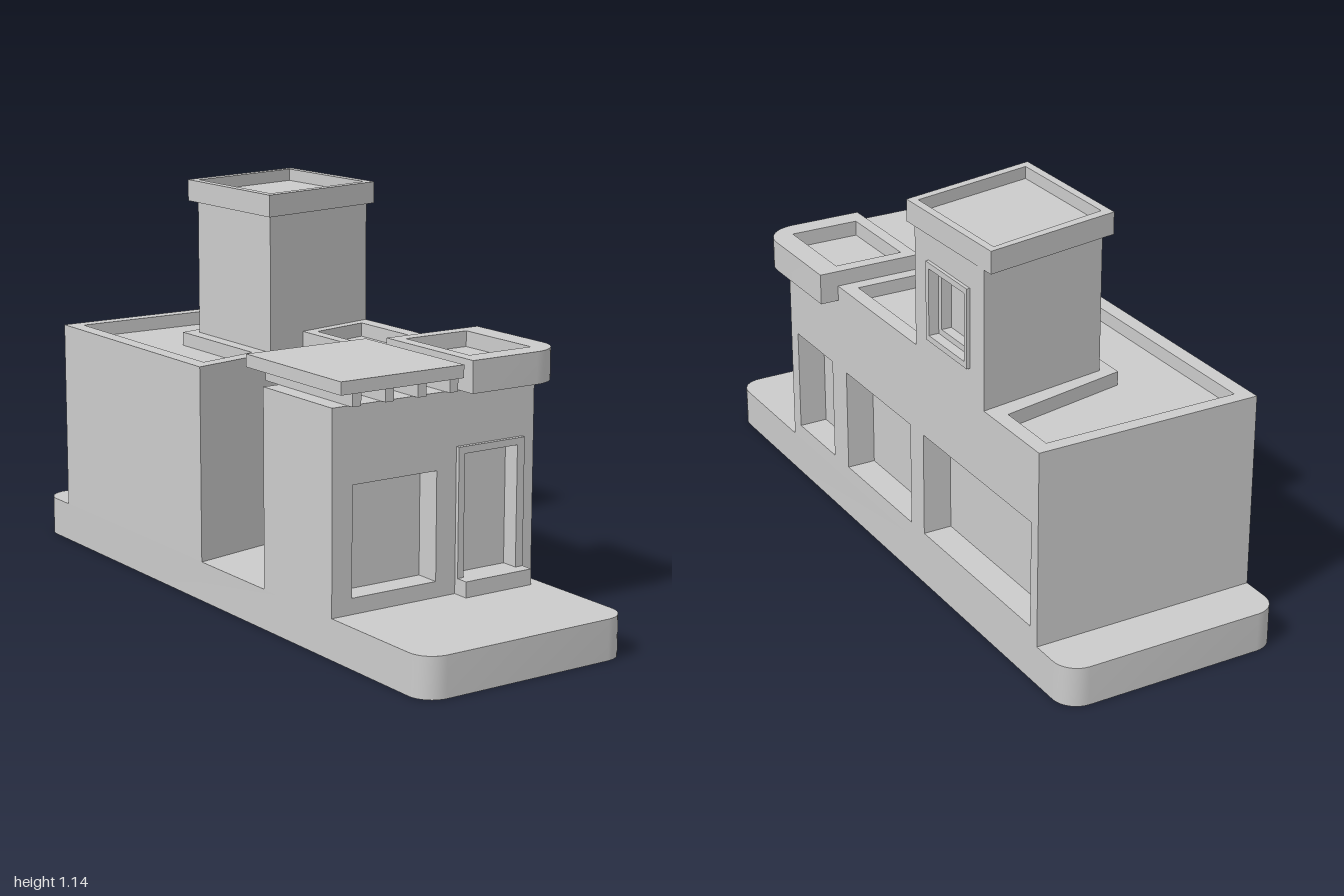
import * as THREE from 'three';
import { mergeGeometries, toCreasedNormals } from 'three/addons/utils/BufferGeometryUtils.js';

const L = -0.365, R = 0.305, FRONT = 0.59, BACK = -0.85, DECK = 0.115, ROOF = 0.68;
const material = new THREE.MeshStandardMaterial({ color: 0xcccccc, side: THREE.DoubleSide });

const rect = (x0, x1, y0, y1) => [[x0, y0], [x1, y0], [x1, y1], [x0, y1]];
const vectors = (pts) => pts.map(([x, y]) => new THREE.Vector2(x, y));
const ccw = (pts) => (THREE.ShapeUtils.isClockWise(vectors(pts)) ? [...pts].reverse() : pts);

// Strip of quads along a path, from depth z0 to z1
function band(pts, z0, z1, closed = true) {
  const pos = [];
  for (let i = 0; i < pts.length - (closed ? 0 : 1); i++) {
    const [ax, ay] = pts[i], [bx, by] = pts[(i + 1) % pts.length];
    pos.push(ax, ay, z0, bx, by, z0, bx, by, z1, ax, ay, z0, bx, by, z1, ax, ay, z1);
  }
  return new THREE.BufferGeometry().setAttribute('position', new THREE.Float32BufferAttribute(pos, 3));
}

// Flat face at depth z, with optional holes
function cap(pts, z, holes = []) {
  const shape = new THREE.Shape(vectors(pts));
  shape.holes = holes.map((h) => new THREE.Path(vectors(h)));
  const geo = new THREE.ShapeGeometry(shape).toNonIndexed().translate(0, 0, z);
  geo.deleteAttribute('uv');
  geo.deleteAttribute('normal');
  return geo;
}

// Face with sunken pockets, each { pts, depth }
function pocketed(pts, z, pockets) {
  const parts = [cap(pts, z, pockets.map((p) => p.pts))];
  for (const { pts: p, depth } of pockets) {
    parts.push(band([...ccw(p)].reverse(), z - depth, z), cap(p, z - depth));
  }
  return parts;
}

function finish(name, parts) {
  const mesh = new THREE.Mesh(toCreasedNormals(mergeGeometries(parts), 0.6), material);
  mesh.name = name;
  return mesh;
}

// Plan drawings are given as [x, z] and raised along y
const plan = (pts) => ccw(pts.map(([x, z]) => [x, -z]));
function raised(name, parts) {
  const mesh = finish(name, parts);
  mesh.geometry.rotateX(-Math.PI / 2);
  return mesh;
}

// Raised block with a sunken, parapet-edged roof
function trayBlock(name, outline, y0, y1, recess, depth, bottom) {
  const o = plan(outline);
  const parts = [band(o, y0, y1), ...pocketed(o, y1, [{ pts: plan(recess), depth }])];
  if (bottom) parts.push(cap([...o], y0));
  return raised(name, parts);
}

// Places wall-plane parts: local x runs from a to b, local z points outward
function onWall(mesh, a, b) {
  mesh.rotation.y = Math.atan2(a[1] - b[1], b[0] - a[0]);
  mesh.position.set(a[0], 0, a[1]);
  return mesh;
}

// Picture-frame ring standing on a wall
function frame(name, outer, inner, z0, z1) {
  return finish(name, [band(outer, z0, z1), band([...inner].reverse(), z0, z1), cap(outer, z1, [inner])]);
}

function box(name, x0, x1, y0, y1, z0, z1) {
  const mesh = new THREE.Mesh(new THREE.BoxGeometry(x1 - x0, y1 - y0, z1 - z0), material);
  mesh.position.set((x0 + x1) / 2, (y0 + y1) / 2, (z0 + z1) / 2);
  mesh.name = name;
  return mesh;
}

// Quarter arc in plan
function arc(cx, cz, r, start, n = 8) {
  return Array.from({ length: n + 1 }, (_, i) => {
    const t = start + (i / n) * Math.PI / 2;
    return [cx + r * Math.cos(t), cz + r * Math.sin(t)];
  });
}

export function createModel() {
  const model = new THREE.Group();
  const slant = (x) => -0.06 - 0.2145 * (x - L); // angled wall line

  // Hollow base with open underside
  const r = 0.07;
  const frontEdge = [...arc(R - r, 1 - r, r, 0), ...arc(L + r, 1 - r, r, Math.PI / 2)];
  const backEdge = [...arc(L + r, -1 + r, r, Math.PI), ...arc(R - r, -1 + r, r, Math.PI * 1.5)];
  const courtyard = [[L, slant(L)], [0.04, slant(0.04)], [0.04, 0.265], [L, 0.265]];
  model.add(raised('base', [
    band(plan([...frontEdge, ...backEdge]), 0, DECK),
    cap(plan([[R, FRONT], ...frontEdge, [L, FRONT]]), DECK),
    cap(plan([[L, BACK], ...backEdge, [R, BACK]]), DECK),
    cap(plan(courtyard), DECK),
  ]));

  // Plain walls: back, left side and courtyard
  const plainWalls = [[R, BACK], [L, BACK], [L, slant(L)], [0.04, slant(0.04)], [0.04, 0.265], [L, 0.265], [L, FRONT]];
  model.add(raised('plainWalls', [band(plainWalls.map(([x, z]) => [x, -z]), DECK, ROOF, false)]));

  // Front wall with window and door niche
  const doorHole = rect(0.06 - L, 0.24 - L, 0.16, 0.505);
  const frontA = [L, FRONT], frontB = [R, FRONT];
  model.add(onWall(finish('frontWall', pocketed(rect(0, R - L, DECK, ROOF), 0, [
    { pts: rect(-0.3 - L, -0.025 - L, 0.16, 0.467), depth: 0.075 },
    { pts: doorHole, depth: 0.04 },
  ])), frontA, frontB));
  model.add(onWall(frame('doorFrame', rect(0.04 - L, 0.265 - L, 0.16, 0.525), doorHole, 0, 0.012), frontA, frontB));
  model.add(box('doorStep', 0.04, 0.265, DECK, 0.16, FRONT, 0.64));

  // Right wall with three windows
  const windows = [[0.545, 0.315], [0.225, -0.165], [-0.24, -0.815]];
  model.add(onWall(finish('rightWall', pocketed(rect(0, FRONT - BACK, DECK, ROOF), 0,
    windows.map(([z0, z1]) => ({ pts: rect(FRONT - z0, FRONT - z1, 0.16, 0.467), depth: 0.085 })))),
  [R, FRONT], [R, BACK]));

  // Roofs
  model.add(raised('frontRoof', [cap(plan([[L, FRONT], [R, FRONT], [R, 0.265], [L, 0.265]]), ROOF)]));
  model.add(raised('rearRoof', pocketed(
    plan([[L, BACK], [R, BACK], [R, slant(R)], [L, slant(L)]]), ROOF,
    [{ pts: plan([[-0.32, -0.81], [0.26, -0.81], [0.26, -0.62], [-0.13, -0.54], [-0.13, -0.157], [-0.32, -0.113]]), depth: 0.04 }])));
  model.add(trayBlock('middleRoof',
    [[0.04, 0.265], [R, 0.265], [R, slant(R)], [0.04, slant(0.04)]], ROOF, 0.725,
    [[0.075, 0.225], [0.26, 0.225], [0.26, -0.162], [0.075, -0.122]], 0.04, false));

  // Rounded corner canopy over the door
  model.add(trayBlock('cornerCanopy',
    [[0.042, 0.265], [0.36, 0.265], ...arc(0.26, 0.555, 0.1, 0, 10), [0.042, 0.655]], ROOF, 0.77,
    [[0.08, 0.305], [0.29, 0.305], [0.29, 0.59], [0.08, 0.59]], 0.045, true));

  // Flat canopy carried on beams
  model.add(box('flatCanopy', L, 0.032, 0.72, 0.756, 0.18, 0.63));
  for (let i = 0; i < 4; i++) {
    const x = -0.315 + i * 0.105;
    model.add(box('canopyBeam', x, x + 0.028, ROOF, 0.72, 0.2, 0.61));
  }

  // Tower, its right wall holding a framed window
  const tower = [[R, -0.572], [-0.09, -0.51], [-0.09, slant(-0.09)], [R, slant(R)]];
  model.add(raised('towerWalls', [band(tower.map(([x, z]) => [x, -z]), ROOF, 1.08, false)]));
  const towerA = tower[3], towerB = tower[0], z0 = towerA[1];
  const pane = rect(z0 + 0.312, z0 + 0.468, 0.807, 0.965);
  const middle = rect(z0 + 0.296, z0 + 0.486, 0.79, 0.983);
  const outer = rect(z0 + 0.28, z0 + 0.5, 0.773, 1.0);
  model.add(onWall(finish('towerRightWall', pocketed(rect(0, z0 + 0.572, ROOF, 1.08), 0,
    [{ pts: middle, depth: 0.05 }])), towerA, towerB));
  model.add(onWall(frame('towerWindowFrame', outer, middle, 0, 0.01), towerA, towerB));
  model.add(onWall(frame('towerWindowSash', middle, pane, -0.05, -0.02), towerA, towerB));

  // Tower cornice with sunken roof
  model.add(trayBlock('towerCornice',
    [[-0.112, -0.53], [0.305, -0.607], [0.315, -0.178], [-0.112, -0.088]], 1.077, 1.14,
    [[-0.087, -0.505], [0.283, -0.582], [0.29, -0.198], [-0.087, -0.12]], 0.035, true));

  return model;
}
